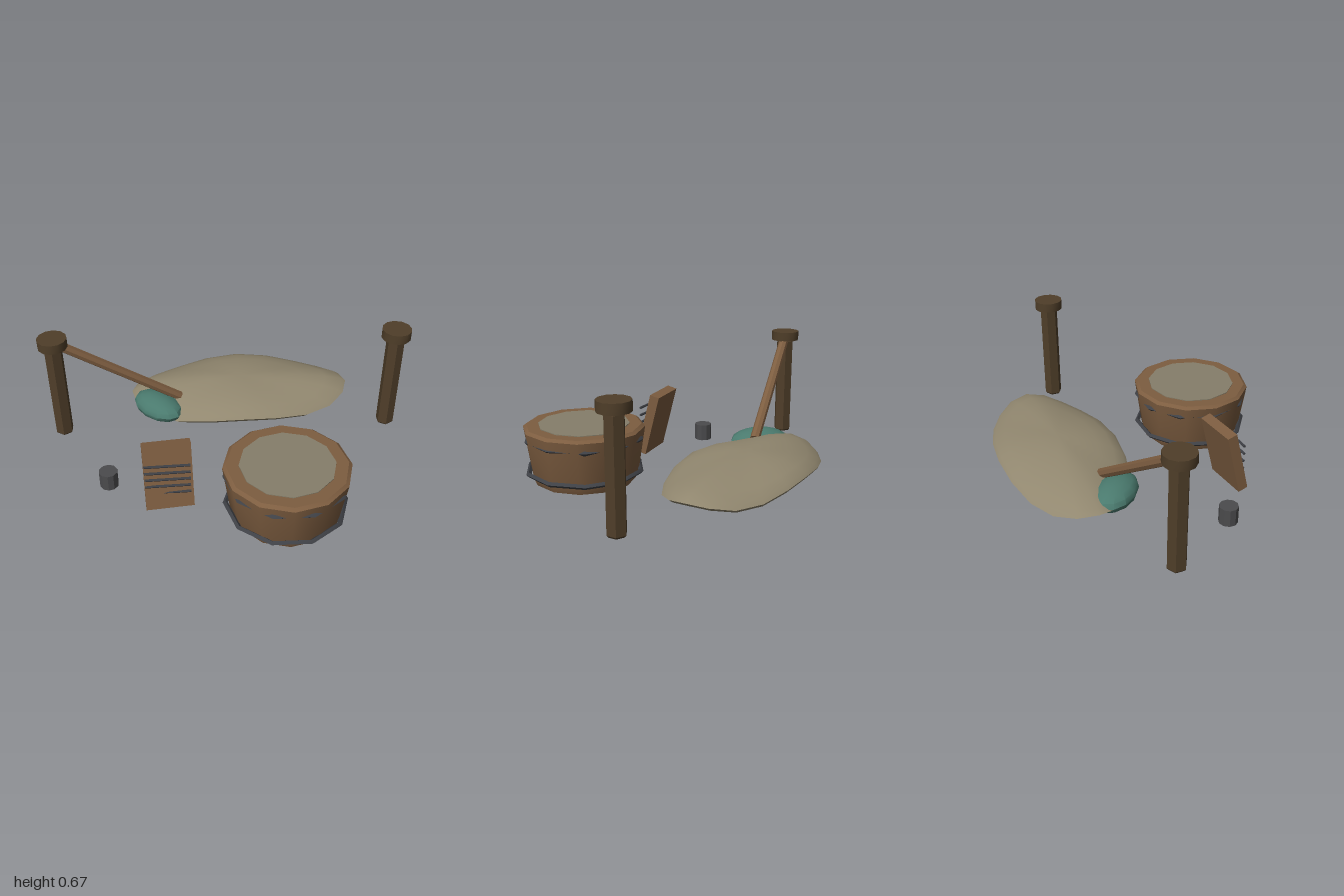
import * as THREE from 'three';
import { toCreasedNormals, mergeVertices } from 'three/addons/utils/BufferGeometryUtils.js';

function material(name, color) {
  const m = new THREE.MeshStandardMaterial({ color });
  m.name = name;
  return m;
}

export function createModel() {
  const model = new THREE.Group();
  const wood = material('warm wood', 0x7d5d40);
  const darkWood = material('dark wood', 0x4f3e29);
  const linen = material('linen', 0x91876f);
  const water = material('wash water', 0x857e6a);
  const teal = material('teal cloth', 0x4a7a6e);
  const iron = material('iron', 0x4b4b4d);
  const darkIron = material('dark iron', 0x3e4045);

  function add(name, geometry, mat, x, y, z, parent = model) {
    const mesh = new THREE.Mesh(toCreasedNormals(geometry, 0.6), mat);
    mesh.name = name;
    mesh.position.set(x, y, z);
    parent.add(mesh);
    return mesh;
  }
  const lathe = (pts, sides) =>
    new THREE.LatheGeometry(pts.map(([r, y]) => new THREE.Vector2(r, y)), sides);

  // Two hexagonal posts with round caps
  for (const side of [-1, 1]) {
    const post = new THREE.Group();
    post.name = side < 0 ? 'rightPost' : 'leftPost';
    post.position.set(side * 0.92, 0, -0.21);
    model.add(post);
    const shaft = [[0, 0.05], [0.042, 0.05], [0.05, 0.06], [0.05, 0.61], [0.042, 0.62], [0, 0.62]];
    add('shaft', lathe(shaft, 6), darkWood, 0, 0, 0, post);
    add('cap', new THREE.CylinderGeometry(0.08, 0.08, 0.052, 12), darkWood, 0, 0.646, 0, post);
  }

  // Pole fallen from one post onto the laundry
  const from = new THREE.Vector3(-0.9, 0.63, -0.215);
  const to = new THREE.Vector3(-0.26, 0.185, -0.326);
  const along = to.clone().sub(from);
  const pole = add('fallenPole', new THREE.CylinderGeometry(0.027, 0.027, along.length(), 8), wood, 0, 0, 0);
  pole.position.copy(from).add(to).multiplyScalar(0.5);
  pole.quaternion.setFromUnitVectors(new THREE.Vector3(0, 1, 0), along.normalize());

  // Linen heap: a lens with a gently waving rim
  const heap = new THREE.SphereGeometry(1, 20, 10);
  heap.deleteAttribute('uv');
  heap.deleteAttribute('normal');
  const p = heap.attributes.position;
  for (let i = 0; i < p.count; i++) {
    const x = p.getX(i), y = p.getY(i), z = p.getZ(i);
    const r = Math.min(1, Math.hypot(x, z));
    const a = Math.atan2(z, x);
    const wave = (0.02 * Math.cos(4 * a) + 0.015 * Math.cos(a)) * r * r;
    const rise = 0.1 * Math.sign(y) * Math.pow(Math.abs(y), 1.4);
    p.setXYZ(i, 0.63 * x, rise + wave, 0.328 * z);
  }
  add('linenHeap', mergeVertices(heap), linen, 0.09, 0.142, -0.44);

  // Teal cloth bundle poking out of the heap
  const bundle = new THREE.SphereGeometry(1, 12, 8);
  bundle.scale(0.165, 0.068, 0.105);
  add('tealBundle', bundle, teal, -0.385, 0.145, -0.295).rotation.y = -Math.PI / 4;

  // Tub with water disc and two hoops
  const tub = new THREE.Group();
  tub.name = 'washTub';
  tub.position.set(0.275, 0, 0.432);
  model.add(tub);
  const body = [[0, 0], [0.275, 0], [0.288, 0.03], [0.327, 0.288], [0.309, 0.302], [0, 0.302]];
  add('tubBody', lathe(body, 12), wood, 0, 0, 0, tub);
  add('tubWater', new THREE.CylinderGeometry(0.245, 0.245, 0.006, 12), water, 0, 0.303, 0, tub);
  for (const [name, radius, y] of [['lowerHoop', 0.311, 0.055], ['upperHoop', 0.312, 0.235]]) {
    const hoop = new THREE.TorusGeometry(radius, 0.014, 4, 10);
    hoop.rotateX(Math.PI / 2);
    add(name, hoop, darkIron, 0, y, 0, tub);
  }

  // Leaning washboard with a row of ridges
  const board = add('washboard', new THREE.BoxGeometry(0.25, 0.36, 0.056), wood, -0.325, 0.182, 0.343);
  board.rotation.set(-0.25, 0.11, 0, 'YXZ');
  for (let i = 0; i < 5; i++) {
    const ridge = new THREE.CylinderGeometry(0.007, 0.007, 0.236, 6);
    ridge.rotateZ(Math.PI / 2);
    add('ridge', ridge, darkIron, -0.326, 0.1 + i * 0.044, 0.388).rotation.y = 0.04;
  }

  // Small iron weight
  add('smallWeight', new THREE.CylinderGeometry(0.05, 0.05, 0.095, 10), iron, -0.647, 0.0475, 0.203);

  return model;
}
